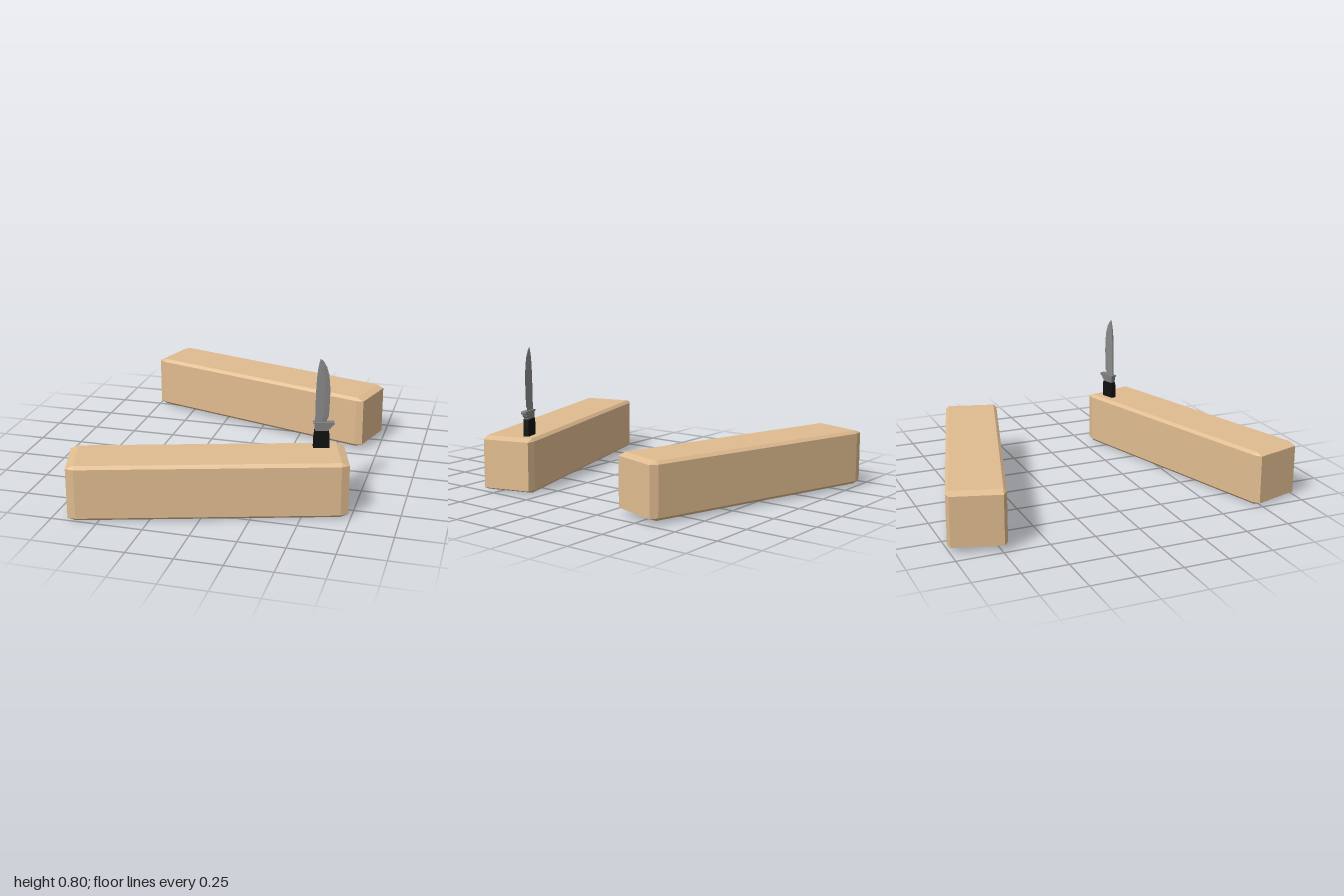
import * as THREE from 'three';
import { ConvexGeometry } from 'three/addons/geometries/ConvexGeometry.js';

const TILT = 0.291;
const material = (color) => new THREE.MeshStandardMaterial({ color, flatShading: true });
const wood = material(0xe0bc90);
const black = material(0x111111);
const steel = material(0x8a8a8a);
const guardSteel = material(0x808080);

function part(name, geometry, mat) {
  const mesh = new THREE.Mesh(geometry, mat);
  mesh.name = name;
  return mesh;
}

// Box with unequal chamfers: the hull of six inset rectangular faces
function chamferedBox(half, inset) {
  const points = [];
  for (let axis = 0; axis < 3; axis++) {
    for (const sx of [-1, 1]) for (const sy of [-1, 1]) for (const sz of [-1, 1]) {
      const p = [sx, sy, sz].map((s, i) => s * (i === axis ? half[i] : half[i] - inset[i]));
      points.push(new THREE.Vector3(...p));
    }
  }
  return new ConvexGeometry(points);
}

// Side profile extruded evenly about z = 0
function slab(profile, depth) {
  const shape = new THREE.Shape(profile.map(([x, y]) => new THREE.Vector2(x, y)));
  return new THREE.ExtrudeGeometry(shape, { depth, bevelEnabled: false }).translate(0, 0, -depth / 2);
}

// Blade sections from base to tip: height, spine x, cutting edge x, half thickness
function bladeGeometry() {
  const sections = [
    [0.444, -0.034, 0.027, 0.0055], [0.462, -0.034, 0.028, 0.0055], [0.472, -0.034, 0.036, 0.0055],
    [0.52, -0.034, 0.039, 0.0055], [0.6, -0.033, 0.041, 0.005], [0.66, -0.031, 0.039, 0.005],
    [0.71, -0.028, 0.033, 0.0045], [0.75, -0.023, 0.021, 0.004], [0.78, -0.017, 0.004, 0.003],
    [0.796, -0.013, -0.012, 0.001],
  ];
  const positions = [], index = [], n = 5;
  for (const [y, spine, edge, t] of sections) {
    const mid = spine + (edge - spine) * 0.6;
    positions.push(spine, y, t, mid, y, t, edge, y, 0, mid, y, -t, spine, y, -t);
  }
  for (let i = 0; i < sections.length - 1; i++) {
    for (let j = 0; j < n; j++) {
      const a = i * n + j, b = i * n + (j + 1) % n;
      index.push(a, b, b + n, a, b + n, a + n);
    }
  }
  const top = (sections.length - 1) * n;
  for (let j = 1; j < n - 1; j++) index.push(top, top + j, top + j + 1, 0, j + 1, j);
  const geometry = new THREE.BufferGeometry();
  geometry.setAttribute('position', new THREE.Float32BufferAttribute(positions, 3));
  geometry.setIndex(index);
  const flat = geometry.toNonIndexed();
  flat.computeVertexNormals();
  return flat;
}

function createKnife() {
  const knife = new THREE.Group();
  knife.name = 'knife';
  // Grip, slightly narrower towards the guard
  knife.add(part('handle', slab([
    [-0.043, 0.3], [0.043, 0.3], [0.042, 0.35], [0.039, 0.4], [-0.037, 0.4], [-0.042, 0.35],
  ], 0.032), black));
  // Collar flaring into a hooked guard
  knife.add(part('guardCollar', slab([
    [-0.034, 0.398], [0.036, 0.398], [0.038, 0.408], [0.05, 0.417], [0.057, 0.438], [-0.039, 0.438],
  ], 0.028), guardSteel));
  knife.add(part('guardPlate', slab([
    [-0.039, 0.436], [0.057, 0.43], [0.067, 0.436], [0.067, 0.447], [-0.043, 0.447], [-0.043, 0.44],
  ], 0.032), guardSteel));
  knife.add(part('blade', bladeGeometry(), steel));
  return knife;
}

export function createModel() {
  const model = new THREE.Group();
  model.name = 'armsWithKnife';

  // Two mirrored beams, the rear one a little higher
  for (const side of [1, -1]) {
    const arm = part(side > 0 ? 'frontArm' : 'rearArm',
      chamferedBox([0.727, 0.1525, 0.153], [0.042, 0.016, 0.017]), wood);
    arm.position.set(0, side > 0 ? 0.1525 : 0.1685, side * 0.66);
    arm.rotation.y = side * TILT;
    model.add(arm);
  }

  // Knife standing on the end of the front arm
  const knife = createKnife();
  knife.position.set(0.55, 0, 0.41);
  knife.rotation.y = TILT;
  model.add(knife);
  return model;
}
